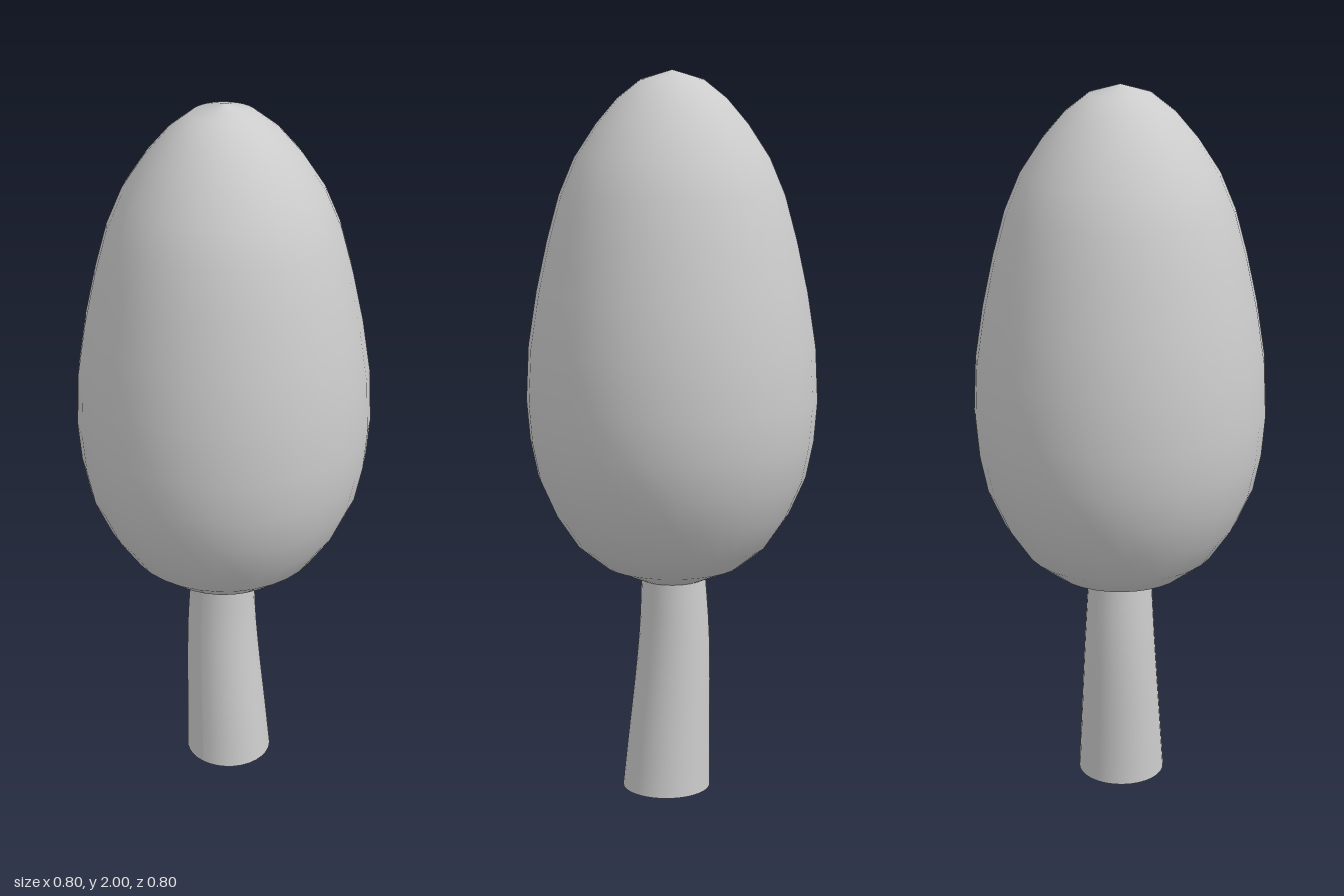
import * as THREE from 'three';

const SIDES = 32;

export function createModel() {
  const model = new THREE.Group();
  const material = new THREE.MeshStandardMaterial({ color: 0xcccccc, side: THREE.DoubleSide });

  // Egg-shaped crown, wider below the middle
  const profile = [
    [0, 0.592], [0.09, 0.603], [0.19, 0.645], [0.265, 0.705], [0.325, 0.795],
    [0.37, 0.897], [0.391, 1.0], [0.4, 1.11], [0.393, 1.26], [0.37, 1.407],
    [0.34, 1.545], [0.307, 1.667], [0.265, 1.767], [0.206, 1.857],
    [0.148, 1.925], [0.085, 1.975], [0, 2],
  ].map(([r, y]) => new THREE.Vector2(r, y));
  const crown = new THREE.Mesh(new THREE.LatheGeometry(profile, SIDES), material);
  crown.name = 'crown';
  model.add(crown);

  // Tapered open trunk, its foot bending towards +x
  const height = 0.62;
  const trunkGeometry = new THREE.CylinderGeometry(0.089, 0.123, height, SIDES, 10, true);
  trunkGeometry.translate(0, height / 2, 0);
  const bend = new THREE.CatmullRomCurve3(
    [[0.018, 0], [0.009, 0.16], [-0.001, 0.32], [-0.007, 0.48], [-0.004, height]]
      .map(([x, y]) => new THREE.Vector3(x, y, 0)));
  const position = trunkGeometry.attributes.position;
  for (let i = 0; i < position.count; i++) {
    const t = THREE.MathUtils.clamp(position.getY(i) / height, 0, 1);
    position.setX(i, position.getX(i) + bend.getPoint(t).x);
  }
  trunkGeometry.computeVertexNormals();
  const trunk = new THREE.Mesh(trunkGeometry, material);
  trunk.name = 'trunk';
  model.add(trunk);

  return model;
}
